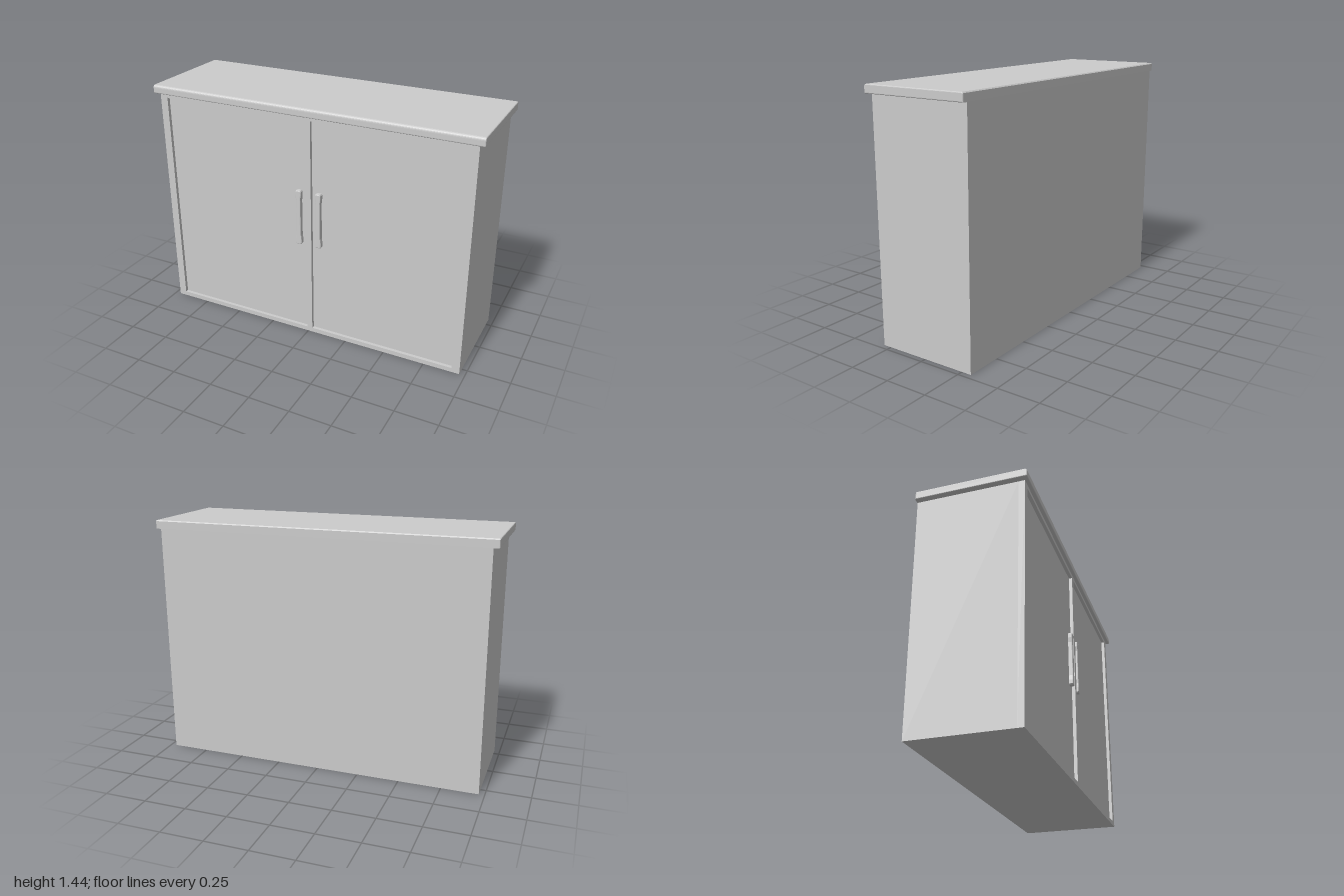
import * as THREE from 'three';

const material = new THREE.MeshStandardMaterial({ color: 0xcccccc });

function addMesh(parent, name, geometry, x = 0, y = 0, z = 0) {
  const mesh = new THREE.Mesh(geometry, material);
  mesh.name = name;
  mesh.position.set(x, y, z);
  parent.add(mesh);
  return mesh;
}

function rectangle(x0, y0, x1, y1, target = new THREE.Shape()) {
  target.moveTo(x0, y0);
  target.lineTo(x1, y0);
  target.lineTo(x1, y1);
  target.lineTo(x0, y1);
  target.closePath();
  return target;
}

// Extrudes a (z, y) side profile across the width, centred on x = 0.
function extrudeAcross(shape, width, bevel = 0) {
  const geometry = new THREE.ExtrudeGeometry(shape, {
    depth: width - 2 * bevel, curveSegments: 6,
    bevelEnabled: bevel > 0, bevelSize: bevel, bevelThickness: bevel,
    bevelOffset: -bevel, bevelSegments: 3,
  });
  geometry.translate(0, 0, -(width - 2 * bevel) / 2);
  return geometry.rotateY(-Math.PI / 2);
}

export function createModel() {
  const cabinet = new THREE.Group();
  cabinet.name = 'cabinet';

  const halfWidth = 0.967, bodyTop = 1.39, top = 1.44;
  const front = 0.3, doorFace = 0.28, doorBack = 0.265;
  const openings = [[-0.92, -0.005], [0.027, 0.92]];
  const doorBottom = 0.027, doorTop = 1.367;

  // Carcass with a back that leans out slightly towards the top
  const side = new THREE.Shape();
  side.moveTo(-0.308, 0);
  side.lineTo(doorBack, 0);
  side.lineTo(doorBack, bodyTop);
  side.lineTo(-0.319, bodyTop);
  side.closePath();
  addMesh(cabinet, 'carcass', extrudeAcross(side, 2 * halfWidth));

  // Front frame with two door openings
  const frame = rectangle(-halfWidth, 0, halfWidth, bodyTop);
  for (const [x0, x1] of openings) {
    frame.holes.push(rectangle(x0, doorBottom, x1, doorTop, new THREE.Path()));
  }
  addMesh(cabinet, 'frontFrame', new THREE.ExtrudeGeometry(frame, {
    depth: front - doorBack, bevelEnabled: false,
  }), 0, 0, doorBack);

  // Recessed doors
  openings.forEach(([x0, x1], i) => {
    addMesh(cabinet, i ? 'leftDoor' : 'rightDoor',
      new THREE.BoxGeometry(x1 - x0, doorTop - doorBottom, doorFace - doorBack),
      (x0 + x1) / 2, (doorBottom + doorTop) / 2, (doorFace + doorBack) / 2);
  });

  // Pull handles with wide ends and a slimmer grip
  const w = 0.018, grip = 0.014, h = 0.171, foot = 0.13;
  const outline = new THREE.Shape([
    [-w + 0.005, -h], [w - 0.005, -h], [w, -h + 0.007], [w, -foot - 0.01],
    [grip, -foot + 0.02], [grip, foot - 0.02], [w, foot + 0.01], [w, h - 0.007],
    [w - 0.005, h], [-w + 0.005, h], [-w, h - 0.007], [-w, foot + 0.01],
    [-grip, foot - 0.02], [-grip, -foot + 0.02], [-w, -foot - 0.01], [-w, -h + 0.007],
  ].map(([x, y]) => new THREE.Vector2(x, y)));
  const handle = new THREE.ExtrudeGeometry(outline, {
    depth: 0.021, bevelEnabled: true, bevelSize: 0.005, bevelThickness: 0.005,
    bevelOffset: -0.005, bevelSegments: 2,
  });
  addMesh(cabinet, 'rightHandle', handle, -0.053, 0.77, doorFace);
  addMesh(cabinet, 'leftHandle', handle, 0.072, 0.77, doorFace);

  // Worktop with a rounded front edge, flush with the back
  const z0 = -0.32, z1 = 0.322, r = 0.018, low = 0.008;
  const slab = new THREE.Shape();
  slab.moveTo(z0, bodyTop);
  slab.lineTo(z1 - low, bodyTop);
  slab.quadraticCurveTo(z1, bodyTop, z1, bodyTop + low);
  slab.lineTo(z1, top - r);
  slab.quadraticCurveTo(z1, top, z1 - r, top);
  slab.lineTo(z0 + 0.006, top);
  slab.lineTo(z0, top - 0.006);
  slab.closePath();
  addMesh(cabinet, 'worktop', extrudeAcross(slab, 2, 0.006));

  return cabinet;
}
